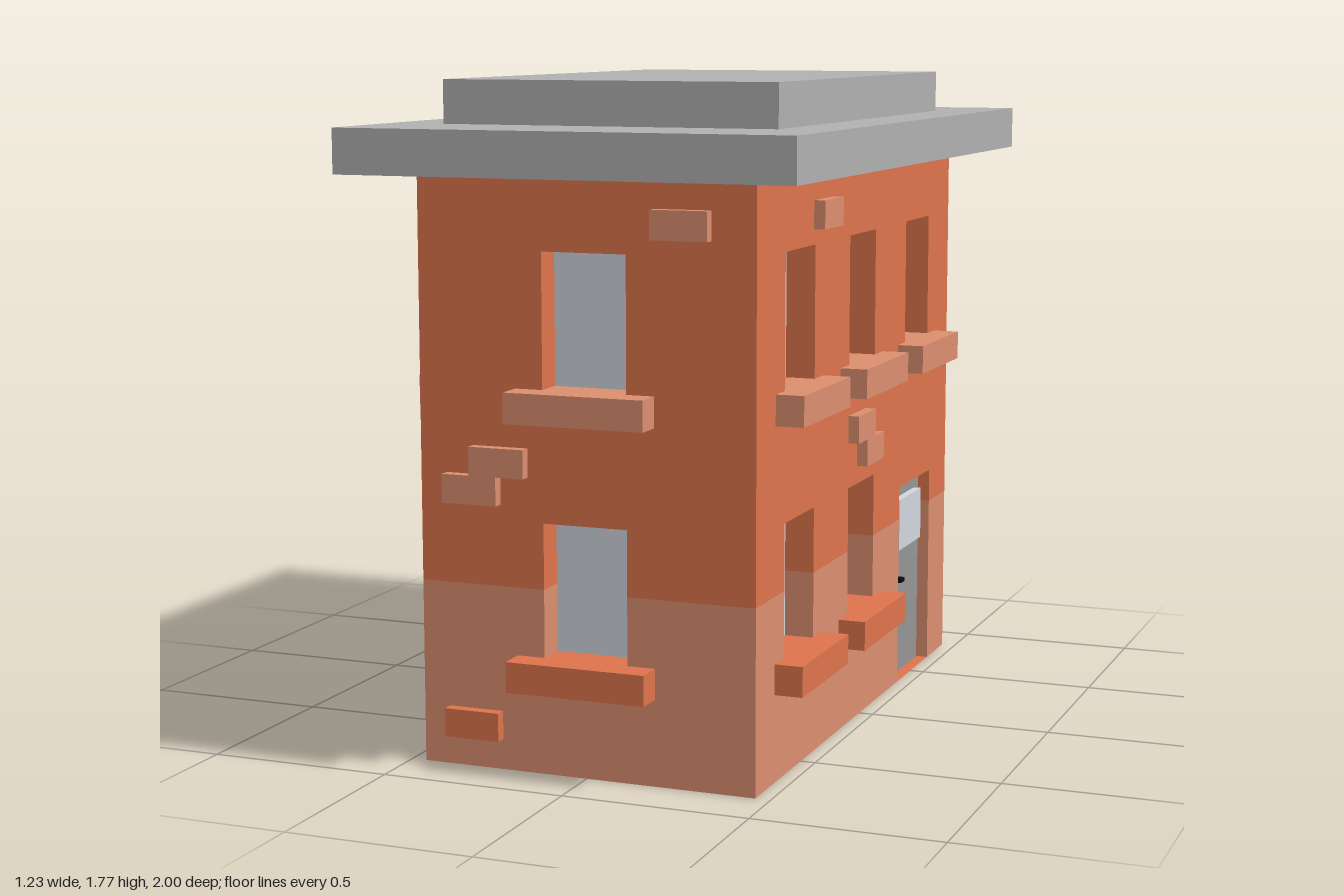
import * as THREE from 'three';
import { mergeGeometries } from 'three/addons/utils/BufferGeometryUtils.js';

const paint = (color) => new THREE.MeshStandardMaterial({ color, side: THREE.DoubleSide });
const brickRed = paint(0xdd744c);
const plaster = paint(0xdb8e70);
const glass = paint(0xcfd6dd);
const stone = paint(0xb0b0b0);
const doorGrey = paint(0x959595);
const black = paint(0x0a0a0a);

const BAND = 0.485, TOP = 1.54, HALF_X = 0.46, HALF_Z = 0.845;
const FACES = ['px', 'nx', 'py', 'ny', 'pz', 'nz'];

// Box between two corners keeping only the listed faces; inward turns them inside out
function box(name, material, [x0, x1], [y0, y1], [z0, z1], faces = FACES, inward = false) {
  const g = new THREE.BoxGeometry(x1 - x0, y1 - y0, z1 - z0);
  const all = Array.from(g.index.array);
  const kept = faces.flatMap((f) => all.slice(FACES.indexOf(f) * 6, FACES.indexOf(f) * 6 + 6));
  if (inward) {
    kept.reverse();
    const n = g.attributes.normal;
    for (let i = 0; i < n.count; i++) n.setXYZ(i, -n.getX(i), -n.getY(i), -n.getZ(i));
  }
  g.setIndex(kept);
  g.clearGroups();
  g.translate((x0 + x1) / 2, (y0 + y1) / 2, (z0 + z1) / 2);
  const mesh = new THREE.Mesh(g, material);
  mesh.name = name;
  return mesh;
}

// Flat wall band with rectangular openings, tiled from the cells between cut lines
function wallBand(name, material, half, y0, y1, holes) {
  const cuts = (lo, hi, key) => [...new Set([lo, hi, ...holes.flatMap((h) => h[key])])]
    .filter((v) => v >= lo && v <= hi).sort((a, b) => a - b);
  const us = cuts(-half, half, 'u'), vs = cuts(y0, y1, 'v');
  const cells = [];
  for (let i = 0; i + 1 < us.length; i++) {
    for (let j = 0; j + 1 < vs.length; j++) {
      const cu = (us[i] + us[i + 1]) / 2, cv = (vs[j] + vs[j + 1]) / 2;
      if (holes.some((h) => cu > h.u[0] && cu < h.u[1] && cv > h.v[0] && cv < h.v[1])) continue;
      cells.push(new THREE.PlaneGeometry(us[i + 1] - us[i], vs[j + 1] - vs[j]).translate(cu, cv, 0));
    }
  }
  const mesh = new THREE.Mesh(mergeGeometries(cells), material);
  mesh.name = name;
  return mesh;
}

// Side, top and bottom reveals of an opening, coloured by wall band
function reveal(name, u, v, depth) {
  const w = [-depth, 0], group = new THREE.Group();
  group.name = name;
  const low = v[0] < BAND;
  group.add(box(name + 'Floor', low ? brickRed : plaster, u, v, w, ['ny'], true));
  if (low) group.add(box(name + 'LowerSides', plaster, u, [v[0], BAND], w, ['px', 'nx'], true));
  group.add(box(name + 'UpperSides', brickRed, u, [Math.max(v[0], BAND), v[1]], w, ['px', 'nx', 'py'], true));
  return group;
}

// One wall in its own plane: u across, v up, outward along +z
function makeWall(name, half, { windows, bricks, door }) {
  const wall = new THREE.Group();
  wall.name = name;
  const holes = [];
  const raised = ['px', 'nx', 'py', 'ny', 'pz'];

  for (const [c, y] of windows) {
    const u = [c - 0.115, c + 0.115], v = [y, y + 0.35];
    const sillU = [c - 0.19, c + 0.19], sillV = [y - 0.08, y];
    if (c) { // outer sills sit slightly inwards of the outer windows' sides
      sillU[0] = c - 0.185;
      sillU[1] = c + 0.185;
    }
    holes.push({ u, v }, { u: sillU, v: sillV });
    wall.add(reveal('windowReveal', u, v, 0.08));
    wall.add(box('windowPane', glass, u, v, [-0.08, -0.079], ['pz']));
    wall.add(box('windowSill', y < BAND ? brickRed : plaster, sillU, sillV, [0, 0.075], raised));
  }

  for (const [u0, v0] of bricks) {
    const u = [u0, u0 + 0.152], v = [v0, v0 + 0.075];
    holes.push({ u, v });
    wall.add(box('raisedBrick', v0 < BAND ? brickRed : plaster, u, v, [0, 0.03], raised));
  }

  if (door) {
    const u = [0.365, 0.675], v = [0, 0.58];
    holes.push({ u, v });
    wall.add(reveal('doorReveal', u, v, 0.035));
    wall.add(box('doorPanel', doorGrey, u, v, [-0.035, -0.034], ['pz']));
    wall.add(box('doorWindow', glass, [0.41, 0.628], [0.382, 0.532], [-0.034, -0.012], raised));
    wall.add(box('doorHandle', black, [0.395, 0.427], [0.289, 0.301], [-0.034, 0.0]));
  }

  wall.add(wallBand('lowerWall', plaster, half, 0, BAND, holes));
  wall.add(wallBand('upperWall', brickRed, half, BAND, TOP, holes));
  return wall;
}

export function createModel() {
  const model = new THREE.Group();
  model.name = 'townHouse';

  // Each half holds one short and one long wall; the second is the first turned half round
  for (let i = 0; i < 2; i++) {
    const half = new THREE.Group();
    half.name = i ? 'backHalf' : 'frontHalf';
    half.rotation.y = i * Math.PI;

    const short = makeWall('shortWall', HALF_X, {
      windows: [[0, 0.307], [0, 1.0]],
      bricks: [[0.19, 1.39], [-0.31, 0.773], [-0.387, 0.698], [-0.387, 0.08]],
    });
    short.position.z = HALF_Z;

    const long = makeWall('longWall', HALF_Z, {
      windows: [[-0.52, 0.31], [0, 0.31], [-0.52, 1.0], [0, 1.0], [0.52, 1.0]],
      bricks: [[-0.417, 1.39], [-0.117, 0.785], [-0.04, 0.71]],
      door: true,
    });
    long.rotation.y = Math.PI / 2;
    long.position.x = HALF_X;

    half.add(short, long);
    model.add(half);
  }

  // Overhanging roof slab with a smaller raised slab on top
  model.add(box('roofSlab', stone, [-0.615, 0.615], [TOP, 1.657], [-1, 1]));
  model.add(box('roofCap', stone, [-0.46, 0.46], [1.657, 1.772], [-0.692, 0.692], ['px', 'nx', 'py', 'pz', 'nz']));
  return model;
}
